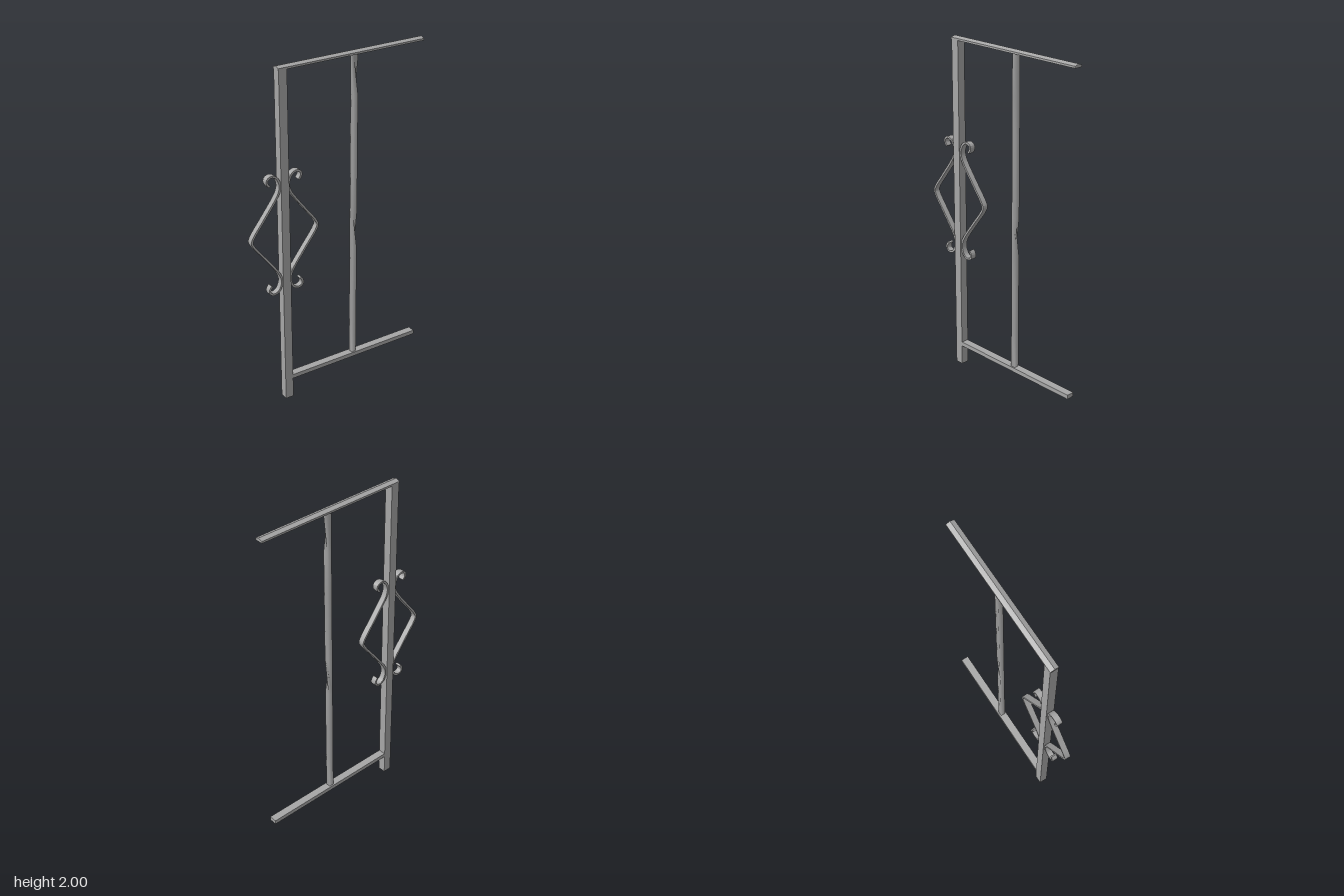
import * as THREE from 'three';

const steel = new THREE.MeshStandardMaterial({ color: 0xa6a6a6 });
steel.name = 'grey steel';

function add(parent, name, geometry, x = 0, y = 0, z = 0) {
  const mesh = new THREE.Mesh(geometry, steel);
  mesh.name = name;
  mesh.position.set(x, y, z);
  parent.add(mesh);
  return mesh;
}

// Square bar twisted a quarter turn per segment; each side is two triangles
function twistedBar(half, y0, y1, segments) {
  const corners = [[1, 1], [-1, 1], [-1, -1], [1, -1]];
  const pinched = { 3: [0, 3], 7: [0] }; // corners folded inwards, by segment
  const positions = [], index = [];
  for (let s = 0; s <= segments; s++) {
    for (const [x, z] of corners) positions.push(x * half, y0 + (y1 - y0) * s / segments, z * half);
  }
  for (let s = 0; s < segments; s++) {
    for (let k = 0; k < 4; k++) {
      const shared = (k + 1) % 4;
      const a = s * 4 + k, b = s * 4 + shared;
      const c = b + 4, d = (s + 1) * 4 + (k + 2) % 4;
      if (pinched[s]?.includes(shared)) index.push(a, c, d, a, d, b);
      else index.push(a, c, b, b, c, d);
    }
  }
  const geometry = new THREE.BufferGeometry();
  geometry.setAttribute('position', new THREE.Float32BufferAttribute(positions, 3));
  geometry.setIndex(index);
  geometry.computeVertexNormals();
  return geometry;
}

// Flat strip bent along a centre line in the x-y plane
function bentStrip(points, thickness, width) {
  const curve = new THREE.CatmullRomCurve3(points.map(([x, y]) => new THREE.Vector3(x, y, 0)), false, 'centripetal');
  const outer = [], inner = [];
  const steps = 110;
  for (let i = 0; i <= steps; i++) {
    const p = curve.getPointAt(i / steps), t = curve.getTangentAt(i / steps);
    const nx = -t.y * thickness / 2, ny = t.x * thickness / 2;
    outer.push(new THREE.Vector2(p.x + nx, p.y + ny));
    inner.unshift(new THREE.Vector2(p.x - nx, p.y - ny));
  }
  const geometry = new THREE.ExtrudeGeometry(new THREE.Shape([...outer, ...inner]), { depth: width, bevelEnabled: false });
  return geometry.translate(0, 0, -width / 2);
}

export function createModel() {
  const group = new THREE.Group();
  group.name = 'railing panel';
  const postX = -0.341;

  // Post and bottom rail
  add(group, 'post', new THREE.BoxGeometry(0.05, 1.98, 0.048), postX, 0.99, 0);
  add(group, 'bottomRail', new THREE.BoxGeometry(0.869, 0.025, 0.046), 0.1185, 0.1325, 0);

  // Handrail with a shallow ridge along its top
  const section = new THREE.Shape([
    [-0.025, 1.98], [0.025, 1.98], [0.025, 1.991], [0, 2], [-0.025, 1.991],
  ].map(([x, y]) => new THREE.Vector2(x, y)));
  const rail = new THREE.ExtrudeGeometry(section, { depth: 0.921, bevelEnabled: false });
  rail.rotateY(Math.PI / 2);
  add(group, 'handrail', rail, -0.368, 0, 0);

  // Twisted baluster
  add(group, 'twistedBaluster', twistedBar(0.0145, 0.145, 1.98, 8), 0.114, 0, 0);

  // Scroll ornaments on both sides of the post
  const half = [
    [0.091, 0.297], [0.105, 0.318], [0.103, 0.340], [0.078, 0.352], [0.050, 0.341],
    [0.032, 0.311], [0.027, 0.280], [0.037, 0.245], [0.056, 0.213],
    [0.125, 0.121], [0.196, 0.027],
  ];
  const path = [...half, [0.207, 0], ...half.slice().reverse().map(([x, y]) => [x, -y])];
  const strip = bentStrip(path, 0.012, 0.034);
  add(group, 'leftScroll', strip, postX, 1.056, 0);
  add(group, 'rightScroll', strip, postX, 1.056, 0).rotation.y = Math.PI;

  return group;
}
